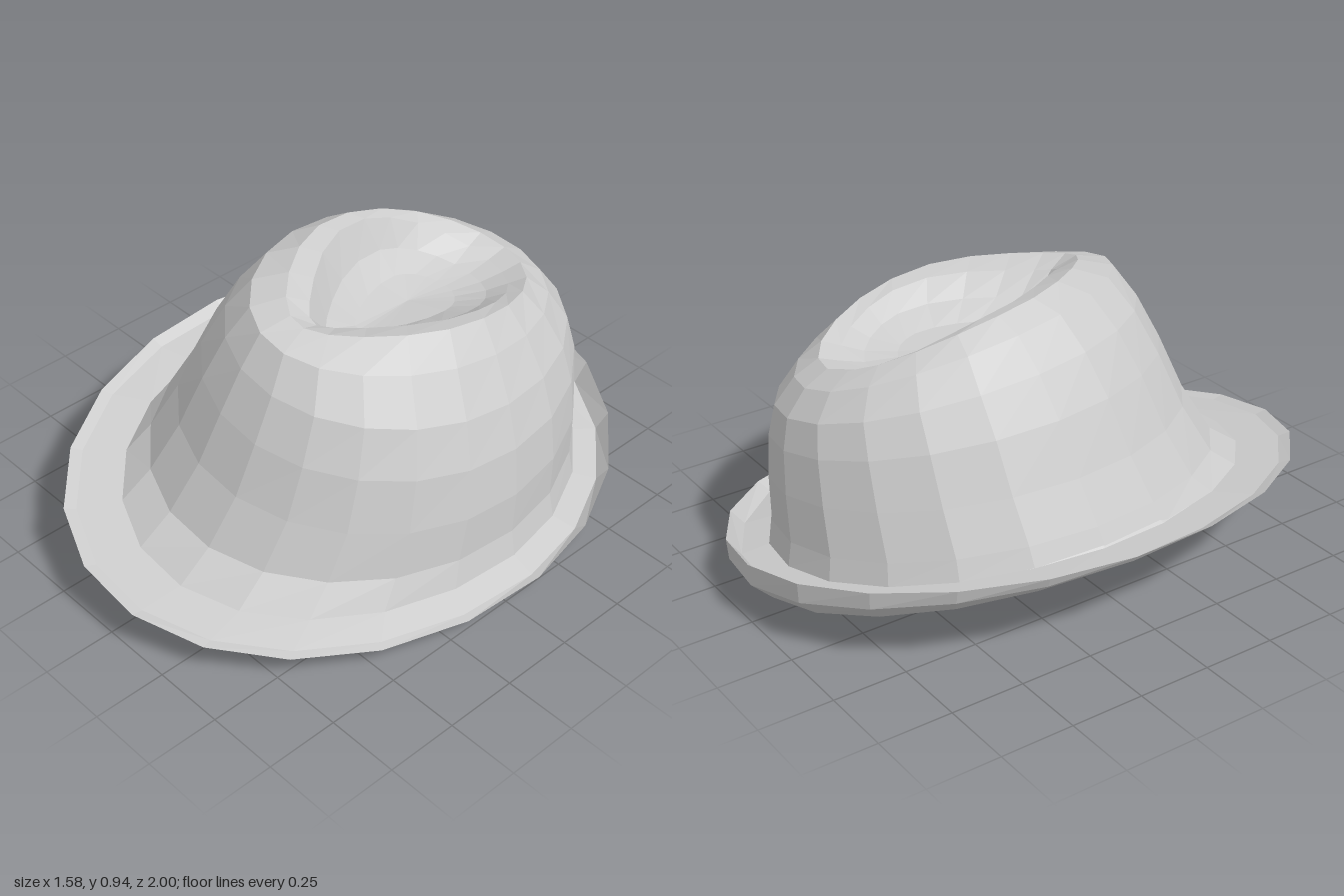
import * as THREE from 'three';

const SIDES = 21;

// Cross-section loops: [xMin, xMax, zFront, zBack, zWidest, yAtXMin, yAtXMax, yFront, yBack, frontPinch]
const rim = [-0.79, 0.79, 1.01, -1.0, -0.04, 0.312, 0.05, 0.17, 0.20, 0];
const foot = [-0.635, 0.68, 0.82, -0.85, -0.05, 0.27, 0.075, 0.165, 0.13, 0];
const wall = [-0.53, 0.65, 0.605, -0.825, -0.08, 0.47, 0.30, 0.42, 0.36, 0];
const shoulder = [-0.29, 0.48, 0.395, -0.72, -0.15, 0.875, 0.735, 0.86, 0.685, 0.08];

const brimRings = [
  rim,                                                                // upturned edge, highest at the back
  [-0.755, 0.76, 0.97, -0.95, -0.04, 0.285, 0.045, 0.16, 0.125, 0],
  foot
];
const undersideRings = [
  [-0.605, 0.64, 0.66, -0.81, -0.06, 0.295, 0.10, 0.20, 0.145, 0],    // head opening
  [-0.69, 0.70, 0.86, -0.92, -0.05, 0.235, 0.0, 0.115, 0.05, 0],      // lowest sag
  [-0.775, 0.775, 0.995, -0.995, -0.04, 0.293, 0.033, 0.155, 0.125, 0],
  rim
];
const liningRings = [
  undersideRings[0],
  wall
];
const crownRings = [
  foot,
  [-0.605, 0.657, 0.70, -0.835, -0.06, 0.33, 0.16, 0.25, 0.21, 0],
  wall,
  [-0.45, 0.62, 0.535, -0.81, -0.10, 0.64, 0.46, 0.60, 0.50, 0],
  [-0.37, 0.565, 0.465, -0.785, -0.12, 0.77, 0.60, 0.75, 0.60, 0],
  shoulder
];
const dentRings = [
  shoulder,
  [-0.215, 0.40, 0.29, -0.64, -0.18, 0.917, 0.82, 0.885, 0.73, 0.35], // crest
  [-0.17, 0.345, 0.22, -0.57, -0.22, 0.90, 0.805, 0.85, 0.71, 0.6],
  [-0.12, 0.28, 0.15, -0.49, -0.25, 0.79, 0.75, 0.77, 0.69, 0.6],
  [-0.04, 0.19, 0.02, -0.38, -0.25, 0.73, 0.71, 0.72, 0.69, 0.4],
  [0.06, 0.06, -0.22, -0.22, -0.22, 0.70, 0.70, 0.70, 0.70, 0]        // dent floor
];

// Point on a tilted, egg-shaped loop
function ringPoint([x0, x1, zf, zb, zw, yl, yr, yf, yb, pinch], angle) {
  const s = Math.sin(angle), c = Math.cos(angle);
  const narrow = 1 - pinch * Math.max(c, 0) ** 2;
  const x = (x0 + x1) / 2 + s * narrow * (x1 - x0) / 2;
  const z = zw + c * (c > 0 ? zf - zw : zw - zb);
  const y = s * s * (yr + yl) / 2 + s * (yr - yl) / 2 + c * c * (yf + yb) / 2 + c * (yf - yb) / 2;
  return [x, y, z];
}

// Skin a stack of loops; the half step puts a flat facet at the front
function loft(name, rings, material) {
  const positions = [], index = [];
  rings.forEach((ring, r) => {
    for (let i = 0; i < SIDES; i++) {
      positions.push(...ringPoint(ring, ((i + 0.5) / SIDES) * Math.PI * 2));
      if (r === 0) continue;
      const j = (i + 1) % SIDES, a = (r - 1) * SIDES, b = r * SIDES;
      index.push(a + i, a + j, b + j, a + i, b + j, b + i);
    }
  });
  const geometry = new THREE.BufferGeometry();
  geometry.setAttribute('position', new THREE.Float32BufferAttribute(positions, 3));
  geometry.setIndex(index);
  geometry.computeVertexNormals();
  const mesh = new THREE.Mesh(geometry, material);
  mesh.name = name;
  return mesh;
}

export function createModel() {
  const felt = new THREE.MeshStandardMaterial({ color: 0xcccccc, flatShading: true, side: THREE.DoubleSide });
  const hat = new THREE.Group();
  hat.name = 'hat';
  hat.add(
    loft('brimTop', brimRings, felt),
    loft('brimUnderside', undersideRings, felt),
    loft('lining', liningRings, felt),
    loft('crown', crownRings, felt),
    loft('crownDent', dentRings, felt)
  );
  return hat;
}
